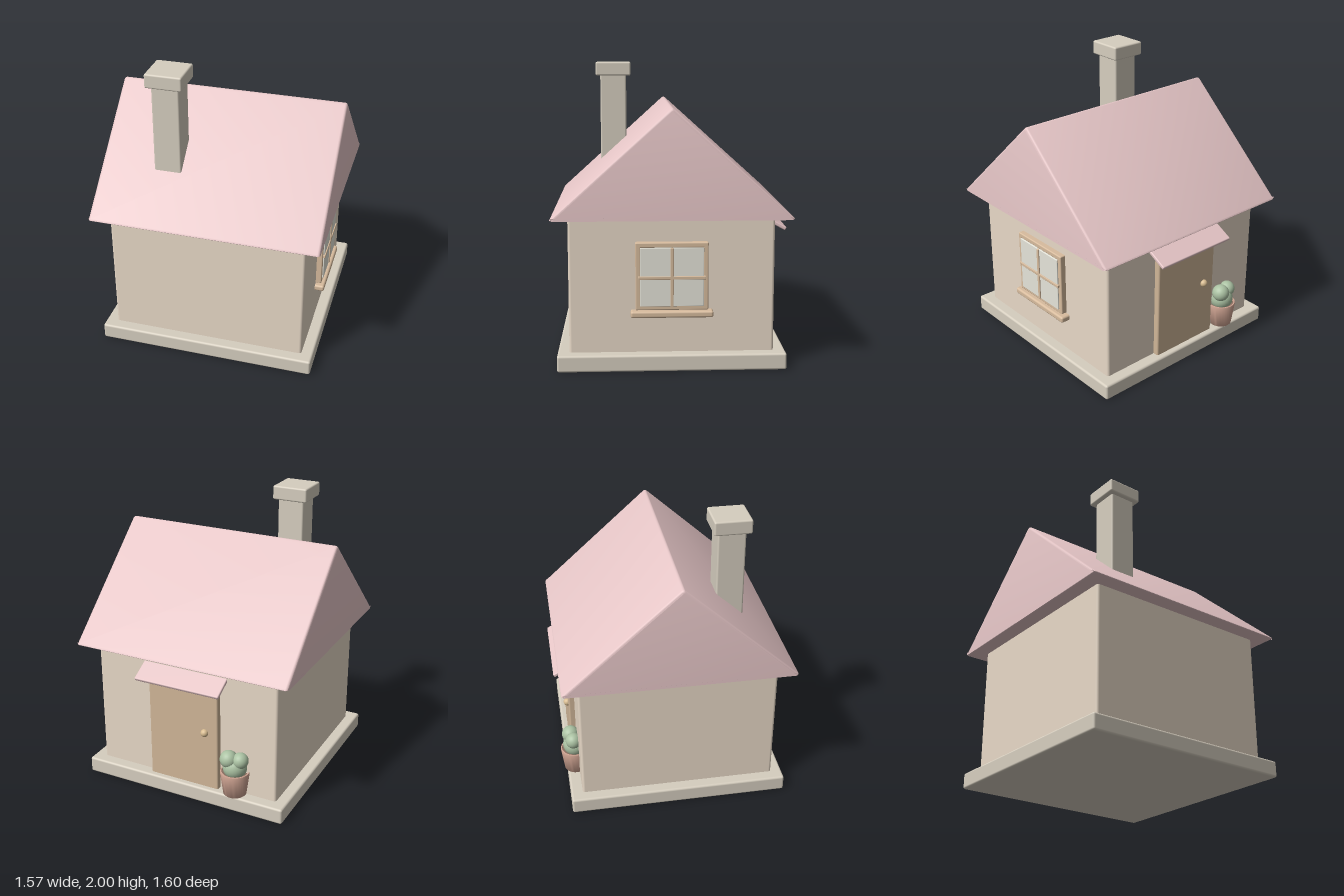
import * as THREE from 'three';
import { RoundedBoxGeometry } from 'three/addons/geometries/RoundedBoxGeometry.js';
import { toCreasedNormals } from 'three/addons/utils/BufferGeometryUtils.js';

const paint = (color) => new THREE.MeshStandardMaterial({ color });
const PINK = paint(0xe6c6c7), WALL = paint(0xe8d9c7), STONE = paint(0xd6cebf), WOOD = paint(0xd8bc9e);
const DOOR = paint(0xd0b698), GLASS = paint(0xe6e5da), BRASS = paint(0xd9bd92);
const CLAY = paint(0xd3a795), GREEN = paint(0xabc2a3), SOIL = paint(0x8a6f60);

function add(parent, name, geometry, material, x = 0, y = 0, z = 0) {
  const mesh = new THREE.Mesh(geometry, material);
  mesh.name = name;
  mesh.position.set(x, y, z);
  parent.add(mesh);
  return mesh;
}

// Rounded box given by its extents along each axis
function block(parent, name, material, [x0, x1], [y0, y1], [z0, z1], r) {
  return add(parent, name, new RoundedBoxGeometry(x1 - x0, y1 - y0, z1 - z0, 3, r), material,
    (x0 + x1) / 2, (y0 + y1) / 2, (z0 + z1) / 2);
}

// Closed polygon with softened corners
function softPolygon(corners, r) {
  const pts = corners.map(([x, y]) => new THREE.Vector2(x, y));
  const toward = (a, b) => a.clone().add(b.clone().sub(a).setLength(r));
  const shape = new THREE.Shape();
  pts.forEach((p, i) => {
    const start = toward(p, pts[(i + pts.length - 1) % pts.length]);
    const end = toward(p, pts[(i + 1) % pts.length]);
    if (i === 0) shape.moveTo(start.x, start.y);
    else shape.lineTo(start.x, start.y);
    shape.quadraticCurveTo(p.x, p.y, end.x, end.y);
  });
  shape.closePath();
  return shape;
}

function makeRoof() {
  const bevel = 0.018, length = 1.574;
  const shape = softPolygon([[-0.805, 1.01], [0.785, 1.01], [-0.012, 1.73]], 0.022);
  const geometry = new THREE.ExtrudeGeometry(shape, {
    depth: length - 2 * bevel, bevelThickness: bevel, bevelSize: bevel, bevelOffset: -bevel,
    bevelSegments: 3, curveSegments: 5,
  });
  geometry.translate(0, 0, bevel - length / 2);
  geometry.rotateY(Math.PI / 2); // profile x becomes -z
  return toCreasedNormals(geometry, 0.6);
}

function makeWindow() {
  const g = new THREE.Group();
  g.name = 'window';
  const z0 = -0.227, z1 = 0.25, y0 = 0.405, y1 = 0.855, w = 0.035, depth = [0.65, 0.714];
  // Frame
  for (const y of [y0, y1 - w]) block(g, 'windowRail', WOOD, depth, [y, y + w], [z0, z1], 0.008);
  for (const z of [z0, z1 - w]) block(g, 'windowStile', WOOD, depth, [y0, y1], [z, z + w], 0.008);
  // Pane and cross bars
  block(g, 'glass', GLASS, [0.66, 0.722], [0.432, 0.822], [-0.197, 0.22], 0.004);
  block(g, 'verticalBar', WOOD, [0.68, 0.73], [0.432, 0.822], [0.001, 0.023], 0.004);
  block(g, 'horizontalBar', WOOD, [0.68, 0.73], [0.612, 0.634], [-0.21, 0.233], 0.004);
  // Sill
  block(g, 'windowSill', WOOD, [0.65, 0.74], [0.358, 0.402], [-0.259, 0.282], 0.014);
  return g;
}

function makePlant() {
  const g = new THREE.Group();
  g.name = 'pottedCactus';
  const profile = [[0, 0], [0.074, 0], [0.08, 0.006], [0.102, 0.168], [0.1, 0.175], [0.092, 0.175], [0.088, 0.16]];
  const pot = new THREE.LatheGeometry(profile.map(([x, y]) => new THREE.Vector2(x, y)), 32);
  add(g, 'pot', toCreasedNormals(pot, 0.7), CLAY);
  add(g, 'soil', new THREE.CylinderGeometry(0.09, 0.09, 0.02, 32), SOIL, 0, 0.154, 0);
  // Body and two lobes
  const balls = [[0, 0.205, 0, 0.084], [0.035, 0.268, -0.025, 0.061], [-0.045, 0.268, -0.01, 0.056]];
  for (const [x, y, z, r] of balls) add(g, 'cactusLobe', new THREE.SphereGeometry(r, 24, 16), GREEN, x, y, z);
  g.position.set(-0.385, 0.111, -0.685);
  return g;
}

export function createModel() {
  const house = new THREE.Group();
  house.name = 'house';

  // Body
  block(house, 'foundation', STONE, [-0.758, 0.753], [0, 0.112], [-0.745, 0.766], 0.015);
  block(house, 'walls', WALL, [-0.68, 0.674], [0.09, 1.04], [-0.665, 0.688], 0.018);
  add(house, 'roof', makeRoof(), PINK, -0.003, 0, 0);

  // Chimney
  block(house, 'chimneyStack', STONE, [-0.416, -0.228], [1.2, 1.93], [0.302, 0.49], 0.012);
  block(house, 'chimneyCap', STONE, [-0.449, -0.198], [1.902, 2], [0.27, 0.522], 0.012);

  // Entrance on the back wall
  block(house, 'door', DOOR, [-0.265, 0.259], [0.1, 0.895], [-0.705, -0.64], 0.012);
  add(house, 'doorKnob', new THREE.SphereGeometry(0.027, 20, 14), BRASS, -0.168, 0.53, -0.709);
  const awning = add(house, 'awning', new RoundedBoxGeometry(0.63, 0.025, 0.2, 3, 0.008), PINK, -0.002, 0.909, -0.709);
  awning.rotation.x = -0.49;

  house.add(makeWindow(), makePlant());
  return house;
}
